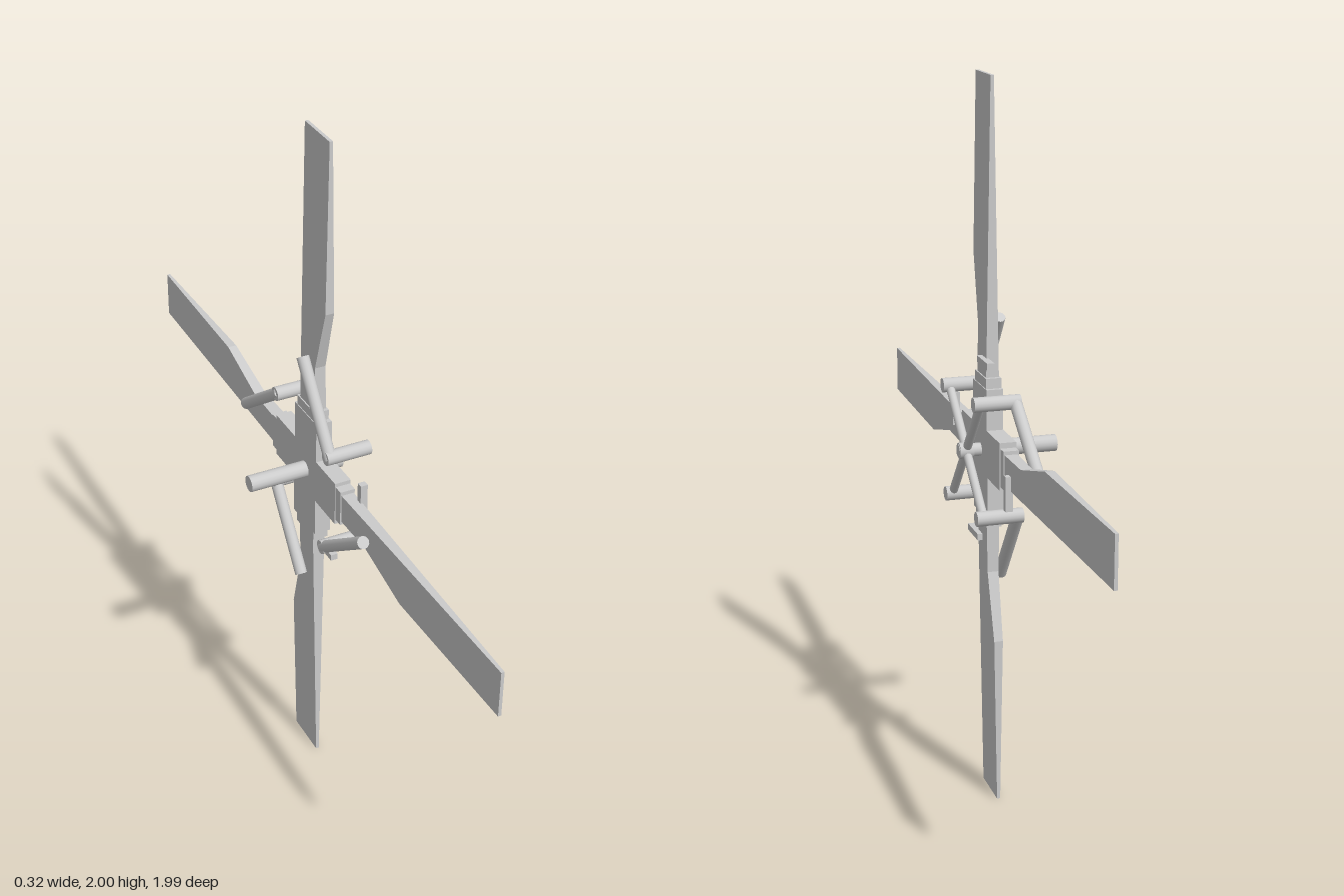
import * as THREE from 'three';

const mat = new THREE.MeshStandardMaterial({ color: 0xcccccc });

function mesh(name, geometry, parent) {
  const m = new THREE.Mesh(geometry, mat);
  m.name = name;
  parent.add(m);
  return m;
}

function box(name, parent, w, h, d, x, y, z) {
  mesh(name, new THREE.BoxGeometry(w, h, d), parent).position.set(x, y, z);
}

// Round rod between two points
function rod(name, parent, a, b, r) {
  const from = new THREE.Vector3(...a), to = new THREE.Vector3(...b);
  const dir = to.clone().sub(from);
  const m = mesh(name, new THREE.CylinderGeometry(r, r, dir.length(), 16), parent);
  m.position.copy(from).add(to).multiplyScalar(0.5);
  m.quaternion.setFromUnitVectors(new THREE.Vector3(0, 1, 0), dir.normalize());
}

// Blade pointing up, widening to +z, thinning towards the tip
function bladeGeometry() {
  const outline = [[-0.043, 0.15], [0.04, 0.15], [0.04, 1], [-0.095, 1], [-0.095, 0.525], [-0.043, 0.34]];
  const shape = new THREE.Shape(outline.map(([x, y]) => new THREE.Vector2(x, y)));
  const geo = new THREE.ExtrudeGeometry(shape, { depth: 1, bevelEnabled: false });
  geo.translate(0, 0, -0.5);
  geo.rotateY(Math.PI / 2);
  const p = geo.attributes.position;
  for (let i = 0; i < p.count; i++) {
    p.setX(i, p.getX(i) * (0.042 - 0.033 * p.getY(i)));
  }
  geo.computeVertexNormals();
  return geo;
}

export function createModel() {
  const model = new THREE.Group();
  model.name = 'tailRotor';

  // The whole rotor is turned slightly about the vertical
  const rotor = new THREE.Group();
  rotor.name = 'rotor';
  rotor.position.set(0.03, 1, 0);
  rotor.rotation.y = -0.122;
  model.add(rotor);

  // Drive shaft, inner control rod and spider hub
  rod('driveShaft', rotor, [-0.19, 0, 0], [0.01, 0, 0], 0.023);
  rod('controlRod', rotor, [0, 0, 0], [0.085, 0, 0], 0.018);
  rod('spiderHub', rotor, [0.045, 0, 0], [0.083, 0, 0], 0.022);

  const blade = bladeGeometry();
  for (let i = 0; i < 4; i++) {
    const arm = new THREE.Group();
    arm.name = 'bladeArm' + (i + 1);
    arm.rotation.x = i * Math.PI / 2;
    rotor.add(arm);

    mesh('blade', blade, arm);
    // Hub arm and narrower cuff
    box('hubArm', arm, 0.046, 0.18, 0.13, 0, 0.09, 0.003);
    box('bladeCuff', arm, 0.042, 0.06, 0.104, 0, 0.178, 0.001);
    // Small tab across the blade root
    box('rootTab', arm, 0.02, 0.018, 0.095, 0.021, 0.252, -0.047);

    // Spider arm, cross pin and pitch link
    rod('spiderArm', arm, [0.062, 0, 0], [0.062, 0.14, 0.165], 0.012);
    rod('linkPin', arm, [-0.045, 0.14, 0.165], [0.083, 0.14, 0.165], 0.02);
    rod('pitchLink', arm, [-0.032, 0.135, 0.17], [-0.032, 0.36, 0.005], 0.017);
  }
  return model;
}
